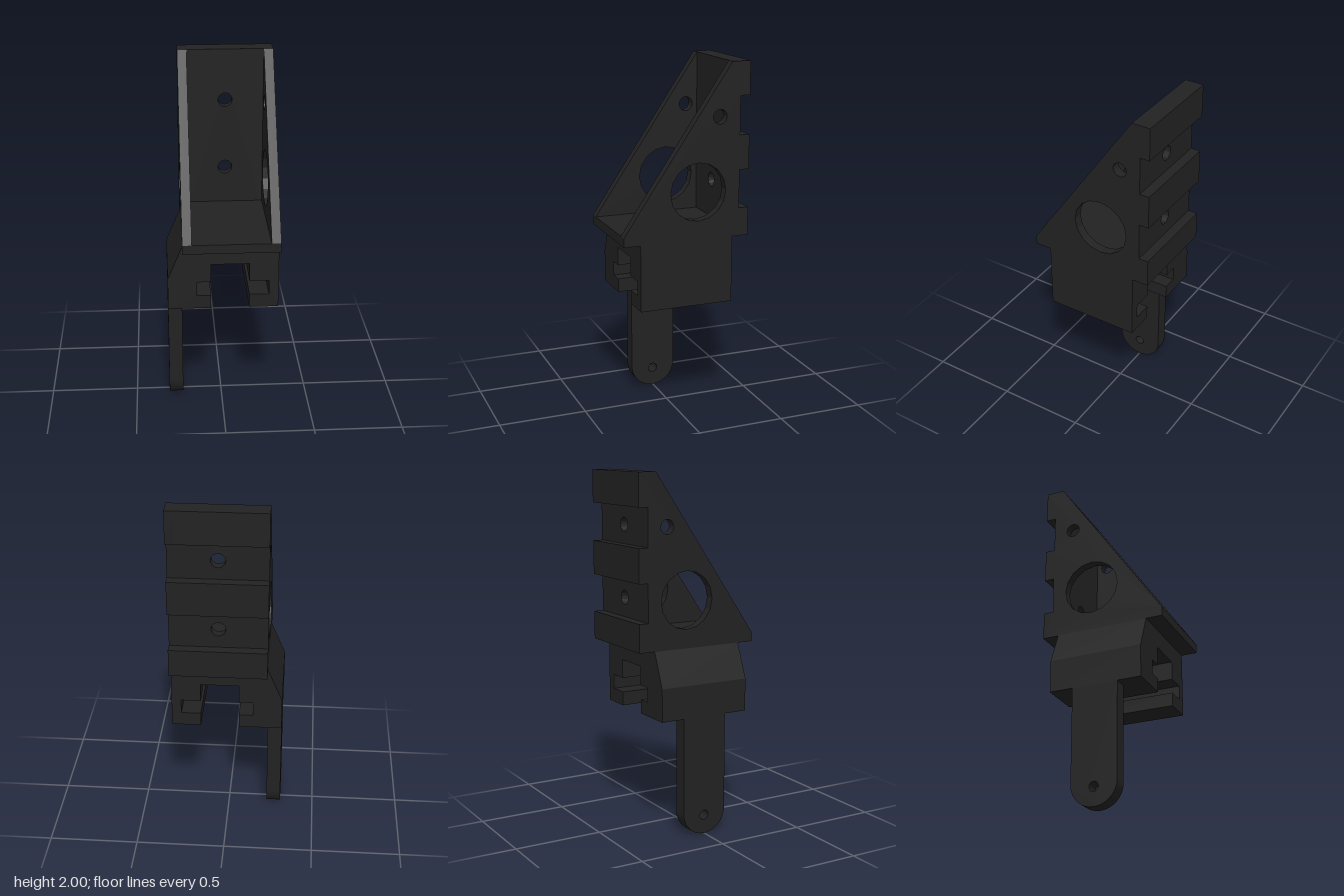
import * as THREE from 'three';

const material = new THREE.MeshStandardMaterial({ color: 0x222222 });

// Overall extents of the upper bracket
const LEFT = 0.305, RIGHT = -0.227, WALL = 0.052;
const BACK = -0.36, GROOVE = -0.305, INNER = -0.255, FRONT = 0.36;
const BASE = 1.045, FLOOR = 1.097, TOP = 2;
const MID = (LEFT + RIGHT) / 2;

function outline(points, holes = []) {
  const shape = new THREE.Shape(points.map(([a, b]) => new THREE.Vector2(a, b)));
  for (const [a, b, r] of holes) {
    shape.holes.push(new THREE.Path().absarc(a, b, r, 0, Math.PI * 2, true));
  }
  return shape;
}

const extrude = (shape, depth, curveSegments = 8) =>
  new THREE.ExtrudeGeometry(shape, { depth, curveSegments, bevelEnabled: false });

// Extrude an (x, y) shape from z0 to z1
const alongZ = (shape, z0, z1) => extrude(shape, z1 - z0).translate(0, 0, z0);

// Extrude a (z, y) shape from x0 to x1
const alongX = (shape, x0, x1, segments) =>
  extrude(shape, x1 - x0, segments).rotateY(-Math.PI / 2).translate(x1, 0, 0);

function box(x0, x1, y0, y1, z0, z1) {
  return new THREE.BoxGeometry(x1 - x0, y1 - y0, z1 - z0)
    .translate((x0 + x1) / 2, (y0 + y1) / 2, (z0 + z1) / 2);
}

export function createModel() {
  const group = new THREE.Group();
  const add = (name, geometry) => {
    const mesh = new THREE.Mesh(geometry, material);
    mesh.name = name;
    group.add(mesh);
  };

  // Triangular side walls with notched rear edge, one large and one small hole
  const wall = outline([
    [BACK, BASE], [FRONT, BASE], [FRONT, FLOOR], [INNER, TOP], [BACK, TOP],
    [BACK, 1.817], [GROOVE, 1.817], [GROOVE, 1.605], [BACK, 1.605],
    [BACK, 1.415], [GROOVE, 1.415], [GROOVE, 1.202], [BACK, 1.202],
  ], [[-0.065, 1.31, 0.16], [-0.187, 1.71, 0.04]]);
  add('leftWall', alongX(wall, LEFT - WALL, LEFT));
  add('rightWall', alongX(wall, RIGHT, RIGHT + WALL));

  // Back plate with two screw holes
  const x0 = RIGHT + WALL, x1 = LEFT - WALL;
  const plate = outline([[x0, BASE], [x1, BASE], [x1, TOP], [x0, TOP]],
    [[MID, 1.31, 0.04], [MID, 1.71, 0.04]]);
  add('backPlate', alongZ(plate, GROOVE, INNER));

  // Raised ribs across the back
  [[BASE, 1.202], [1.415, 1.605], [1.817, TOP]].forEach(([y0, y1]) =>
    add('backRib', box(x0, x1, y0, y1, BACK, GROOVE)));

  // Floor between the walls
  add('floor', box(x0, x1, BASE, FLOOR, INNER, FRONT));

  // Base block with a stepped channel running front to back
  add('channelBlock', alongZ(outline([
    [RIGHT, BASE], [-0.307, 0.855], [-0.307, 0.672], [-0.069, 0.672],
    [-0.069, 0.75], [-0.147, 0.75], [-0.147, 0.832], [-0.069, 0.832],
    [-0.069, 0.938], [0.143, 0.938], [0.143, 0.832], [0.252, 0.832],
    [0.252, 0.75], [0.143, 0.75], [0.143, 0.672], [LEFT, 0.672], [LEFT, BASE],
  ]), -0.267, 0.267));

  // Hanging arm with a rounded end and pivot hole
  const r = 0.132;
  const arm = new THREE.Shape();
  arm.moveTo(r, 0.672);
  arm.lineTo(-r, 0.672);
  arm.lineTo(-r, r);
  arm.absarc(0, r, r, Math.PI, Math.PI * 2, false);
  arm.holes.push(new THREE.Path().absarc(0, 0.107, 0.027, 0, Math.PI * 2, true));
  add('arm', alongX(arm, -0.307, RIGHT, 16));

  return group;
}
